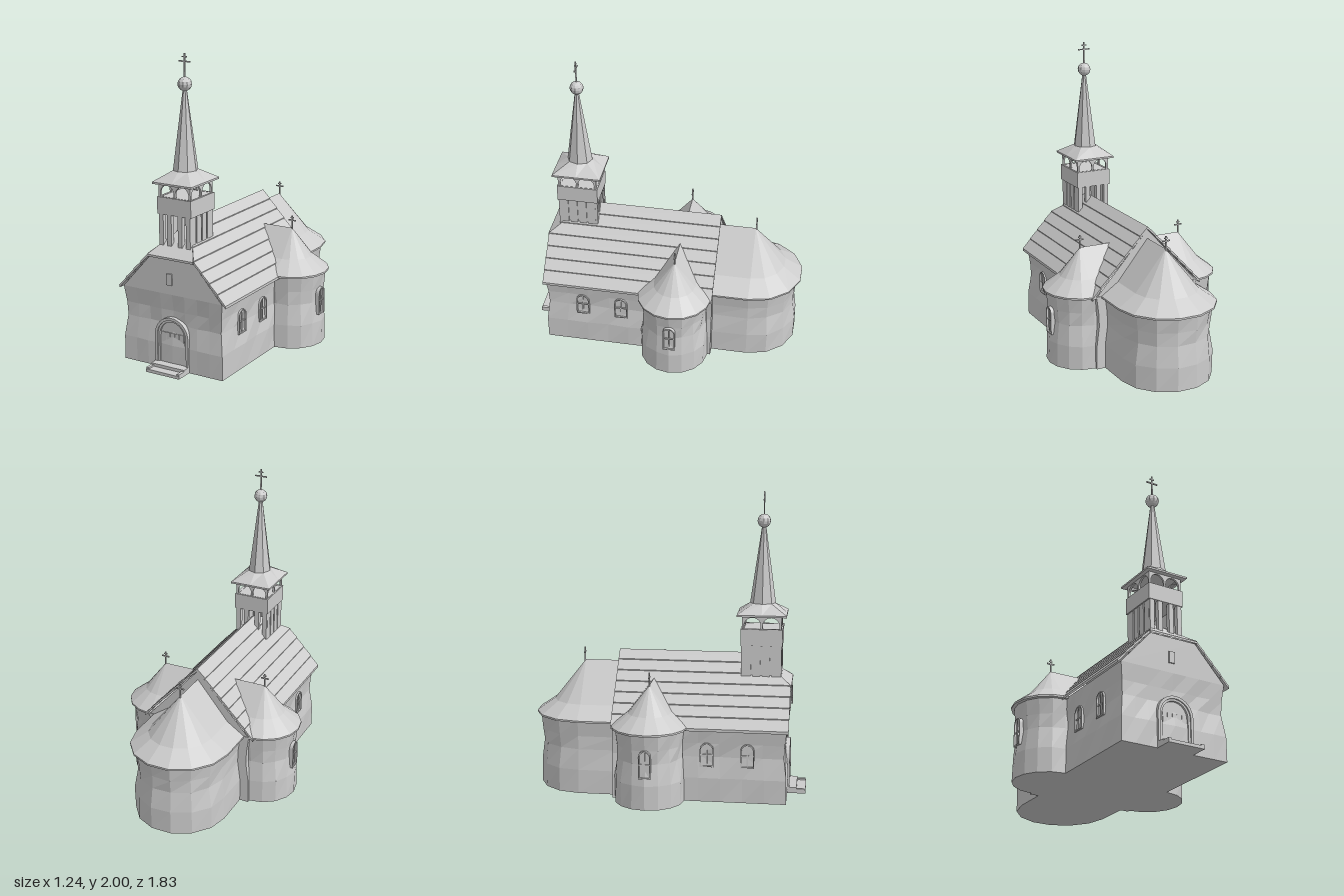
import * as THREE from 'three';

const stone = new THREE.MeshStandardMaterial({ color: 0xcccccc, side: THREE.DoubleSide });
stone.name = 'pale grey';
stone.flatShading = true;

function add(parent, name, geo, x = 0, y = 0, z = 0) {
  const m = new THREE.Mesh(geo, stone);
  m.name = name;
  m.position.set(x, y, z);
  parent.add(m);
  return m;
}
const box = (parent, name, w, h, d, x, y, z) => add(parent, name, new THREE.BoxGeometry(w, h, d), x, y, z);

// Flat-faced geometry from polygons (corner lists, counter-clockwise from outside)
function faces(polys) {
  const pos = [];
  for (const p of polys)
    for (let i = 1; i < p.length - 1; i++) pos.push(...p[0], ...p[i], ...p[i + 1]);
  const g = new THREE.BufferGeometry();
  g.setAttribute('position', new THREE.Float32BufferAttribute(pos, 3));
  g.computeVertexNormals();
  return g;
}

// Skin between rings that run clockwise seen from above
function loft(rings, closed, floor) {
  const polys = [], n = rings[0].length;
  for (let r = 0; r < rings.length - 1; r++)
    for (let i = 0; i < (closed ? n : n - 1); i++) {
      const j = (i + 1) % n, a = rings[r], b = rings[r + 1];
      polys.push([a[j], a[i], b[i]], [a[j], b[i], b[j]]);
    }
  if (floor) polys.push(rings[0]);
  return faces(polys);
}

// A polygon given downward thickness
function slab(p, t) {
  const q = p.map(([x, y, z]) => [x, y - t, z]);
  const sides = p.map((v, i) => { const j = (i + 1) % p.length; return [v, q[i], q[j], p[j]]; });
  return [p, [...q].reverse(), ...sides];
}

// Uneven old masonry: wall offset by height, plus a small fixed wobble
const levels = [[0, 0], [0.16, 0], [0.3, -0.018], [0.39, -0.014], [0.5, 0]];
const wobble = (i, k) => 0.005 * Math.sin(i * 2.7 + k * 4.1) * (k % 4 ? 1 : 0);

// U-shaped plan: half circle towards +z, straight arms back to -len
function uRing(r, len, y, n, k = 0) {
  const pts = [[r, y, -len]];
  for (let i = 0; i <= n; i++) {
    const a = Math.PI * i / n, q = r + (k ? wobble(i, k) : 0);
    pts.push([q * Math.cos(a), y, q * Math.sin(a)]);
  }
  pts.push([-r, y, -len]);
  return pts;
}

function archPath(P, w, y0, y1) {
  const r = w / 2, s = new P();
  s.moveTo(-r, y0);
  s.lineTo(r, y0);
  s.lineTo(r, y1 - r);
  s.absarc(0, y1 - r, r, 0, Math.PI, false);
  s.lineTo(-r, y0);
  return s;
}
function archGeo(w, y0, y1, depth, rim = 0) {
  const s = archPath(THREE.Shape, w, y0, y1);
  if (rim) s.holes.push(archPath(THREE.Path, w - 2 * rim, y0 + rim, y1 - rim));
  return new THREE.ExtrudeGeometry(s, { depth, bevelEnabled: false, curveSegments: 8 });
}

// Window facing local +z, outer face at z = 0
function makeWindow(w, y0, y1) {
  const g = new THREE.Group();
  g.name = 'window';
  add(g, 'windowFrame', archGeo(w, y0, y1, 0.04, 0.008), 0, 0, -0.04);
  add(g, 'windowPane', archGeo(w - 0.01, y0 + 0.005, y1 - 0.005, 0.02), 0, 0, -0.034);
  box(g, 'mullion', 0.008, y1 - y0 - 0.01, 0.012, 0, (y0 + y1) / 2, -0.012);
  box(g, 'glazingBar', w - 0.01, 0.008, 0.012, 0, y0 + (y1 - y0) * 0.5, -0.012);
  return g;
}

function makeCross(h, w) {
  const g = new THREE.Group();
  g.name = 'cross';
  box(g, 'crossPost', 0.008, h, 0.008, 0, h / 2, 0);
  box(g, 'crossArm', w, 0.008, 0.008, 0, h * 0.68, 0);
  box(g, 'crossTopArm', w * 0.4, 0.007, 0.008, 0, h * 0.86, 0);
  return g;
}

// Rounded annex with a flared half-cone roof
function makeAnnex(name, wallR, eaveR, len, n, midR, midY, apexY) {
  const g = new THREE.Group();
  g.name = name;
  add(g, name + 'Wall', loft(levels.map(([y, d], k) => uRing(wallR + d, len, y, n, k)), false, true));
  add(g, name + 'Roof', loft([
    uRing(wallR - 0.01, len, 0.49, n), uRing(eaveR, len, 0.492, n), uRing(eaveR, len, 0.504, n),
    uRing(midR, len, midY, n), uRing(0, len, apexY, n)], false, false));
  return g;
}

function makeNave() {
  const g = new THREE.Group();
  g.name = 'nave';
  const plan = (d, y, k) => {
    const x = 0.37 + d, z1 = 0.8 + d, z0 = -0.345, pts = [], n = 8;
    const side = (ax, az, bx, bz, nx, nz) => {
      for (let i = 0; i < n; i++) {
        const t = i / n, w = i ? wobble(i + nx * 2, k) : 0;
        pts.push([ax + (bx - ax) * t + nx * w, y, az + (bz - az) * t + nz * w]);
      }
    };
    side(x, z0, x, z1, 1, 0);
    side(x, z1, -x, z1, 0, 1);
    side(-x, z1, -x, z0, -1, 0);
    side(-x, z0, x, z0, 0, 0);
    return pts;
  };
  add(g, 'naveWall', loft(levels.map(([y, d], k) => plan(d, y, k)), true, true));
  add(g, 'gables', faces([
    [[-0.37, 0.5, 0.8], [0.37, 0.5, 0.8], [0.16, 0.735, 0.8], [-0.16, 0.735, 0.8]],
    [[0.37, 0.5, -0.343], [-0.37, 0.5, -0.343], [0, 0.91, -0.343]]]));
  // Roof boards in overlapping courses, cut back by the half hip at the front
  const polys = [], rows = 7;
  const hipZ = y => (y > 0.747 ? 0.81 - (y - 0.747) * 1.31 : 0.81);
  for (const s of [1, -1])
    for (let i = 0; i < rows; i++) {
      const at = t => [s * 0.4 * (1 - t), 0.5 + 0.43 * t];
      const [xa, ya] = at(i / rows), [xb, yb] = at((i + 1) / rows), lift = i ? 0.006 : 0;
      const p = [[xa, ya + lift, hipZ(ya)], [xa, ya + lift, -0.35], [xb, yb, -0.35], [xb, yb, hipZ(yb)]];
      polys.push(...slab(s > 0 ? p : p.reverse(), 0.018));
    }
  add(g, 'naveRoof', faces(polys));
  add(g, 'halfHip', faces(slab([[-0.172, 0.745, 0.815], [0.172, 0.745, 0.815], [0, 0.932, 0.568]], 0.014)));
  box(g, 'gableNiche', 0.04, 0.075, 0.02, -0.015, 0.6, 0.8);
  for (const s of [1, -1])
    for (const z of [0.545, 0.28]) {
      const w = makeWindow(0.09, 0.235, 0.395);
      w.position.set(s * 0.368, 0, z);
      w.rotation.y = s * Math.PI / 2;
      g.add(w);
    }
  return g;
}

function makeEntrance() {
  const g = new THREE.Group();
  g.name = 'entrance';
  add(g, 'doorFrame', archGeo(0.25, 0, 0.348, 0.06, 0.018), 0, 0, 0.752);
  add(g, 'innerDoorFrame', archGeo(0.22, 0, 0.335, 0.05, 0.018), 0, 0, 0.754);
  add(g, 'door', archGeo(0.2, 0.01, 0.32, 0.035), 0, 0, 0.755);
  for (let i = -2; i <= 2; i++) box(g, 'doorPlank', 0.028, 0.2, 0.006, i * 0.034, 0.14, 0.792);
  box(g, 'upperStep', 0.25, 0.04, 0.08, 0, 0.02, 0.82);
  box(g, 'lowerStep', 0.25, 0.02, 0.06, 0, 0.01, 0.89);
  for (const s of [1, -1]) box(g, 'stepCheek', 0.02, 0.03, 0.1, s * 0.115, 0.015, 0.865);
  return g;
}

// Bell tower, built around its own axis
function makeTower() {
  const g = new THREE.Group();
  g.name = 'tower';
  for (const sz of [1, -1])
    for (const x of [-0.1, -0.04, 0.04, 0.1]) box(g, 'towerPost', 0.032, 0.28, 0.03, x, 0.87, sz * 0.118);
  for (const sx of [1, -1]) {
    box(g, 'towerSide', 0.016, 0.28, 0.24, sx * 0.102, 0.87, 0);
    for (let i = -1.5; i < 2; i++) box(g, 'towerPlank', 0.014, 0.28, 0.05, sx * 0.11, 0.87, i * 0.062);
  }
  box(g, 'belfryParapet', 0.25, 0.11, 0.275, 0, 1.055, 0);
  // Twin arches on each belfry face
  const arcade = (w, d, turn) => {
    const s = new THREE.Shape();
    s.moveTo(-w / 2, 1.1).lineTo(w / 2, 1.1).lineTo(w / 2, 1.2).lineTo(-w / 2, 1.2);
    for (const c of [-1, 1]) {
      const r = w * 0.21, cx = c * w * 0.235, p = new THREE.Path();
      p.moveTo(cx - r, 1.112).lineTo(cx + r, 1.112).lineTo(cx + r, 1.135);
      p.absellipse(cx, 1.135, r, 0.052, 0, Math.PI, false);
      s.holes.push(p);
    }
    for (const f of [0, Math.PI]) {
      const geo = new THREE.ExtrudeGeometry(s, { depth: 0.014, bevelEnabled: false, curveSegments: 8 });
      geo.translate(0, 0, d / 2 - 0.014);
      add(g, 'belfryArches', geo).rotation.y = turn + f;
    }
  };
  arcade(0.235, 0.26, 0);
  arcade(0.26, 0.235, Math.PI / 2);
  // Spire: square eaves flowing into an eight-sided needle
  const ring = (rx, rz, y, square) => Array.from({ length: 8 }, (_, i) => {
    const a = i * Math.PI / 4, k = square && i % 2 ? Math.SQRT2 : 1;
    return [rx * k * Math.cos(a), y, rz * k * Math.sin(a)];
  });
  add(g, 'spire', loft([ring(0.145, 0.163, 1.194, true), ring(0.145, 0.163, 1.206, true),
    ring(0.078, 0.085, 1.27), ring(0.01, 0.01, 1.8)], true, true));
  add(g, 'spireBall', new THREE.SphereGeometry(0.045, 10, 8), 0, 1.81, 0);
  const c = makeCross(0.16, 0.085);
  c.position.y = 1.84;
  g.add(c);
  g.position.set(-0.01, 0, 0.612);
  return g;
}

export function createModel() {
  const model = new THREE.Group();
  model.name = 'church';
  model.add(makeNave(), makeEntrance(), makeTower());

  const placeCross = (x, y, z) => {
    const c = makeCross(0.1, 0.055);
    c.position.set(x, y, z);
    model.add(c);
  };

  // Apse at the back
  const apse = makeAnnex('apse', 0.31, 0.335, 0.245, 7, 0.215, 0.585, 0.85);
  apse.position.z = -0.585;
  apse.rotation.y = Math.PI;
  model.add(apse);
  placeCross(0, 0.835, -0.59);

  // Side chapels
  for (const s of [1, -1]) {
    const chapel = makeAnnex('chapel', 0.23, 0.25, 0.22, 8, 0.14, 0.59, 0.77);
    const w = makeWindow(0.08, 0.21, 0.395);
    w.position.z = 0.232;
    chapel.add(w);
    chapel.position.set(s * 0.37, 0, -0.095);
    chapel.rotation.y = s * Math.PI / 2;
    model.add(chapel);
    placeCross(s * 0.37, 0.755, -0.095);
  }
  return model;
}
